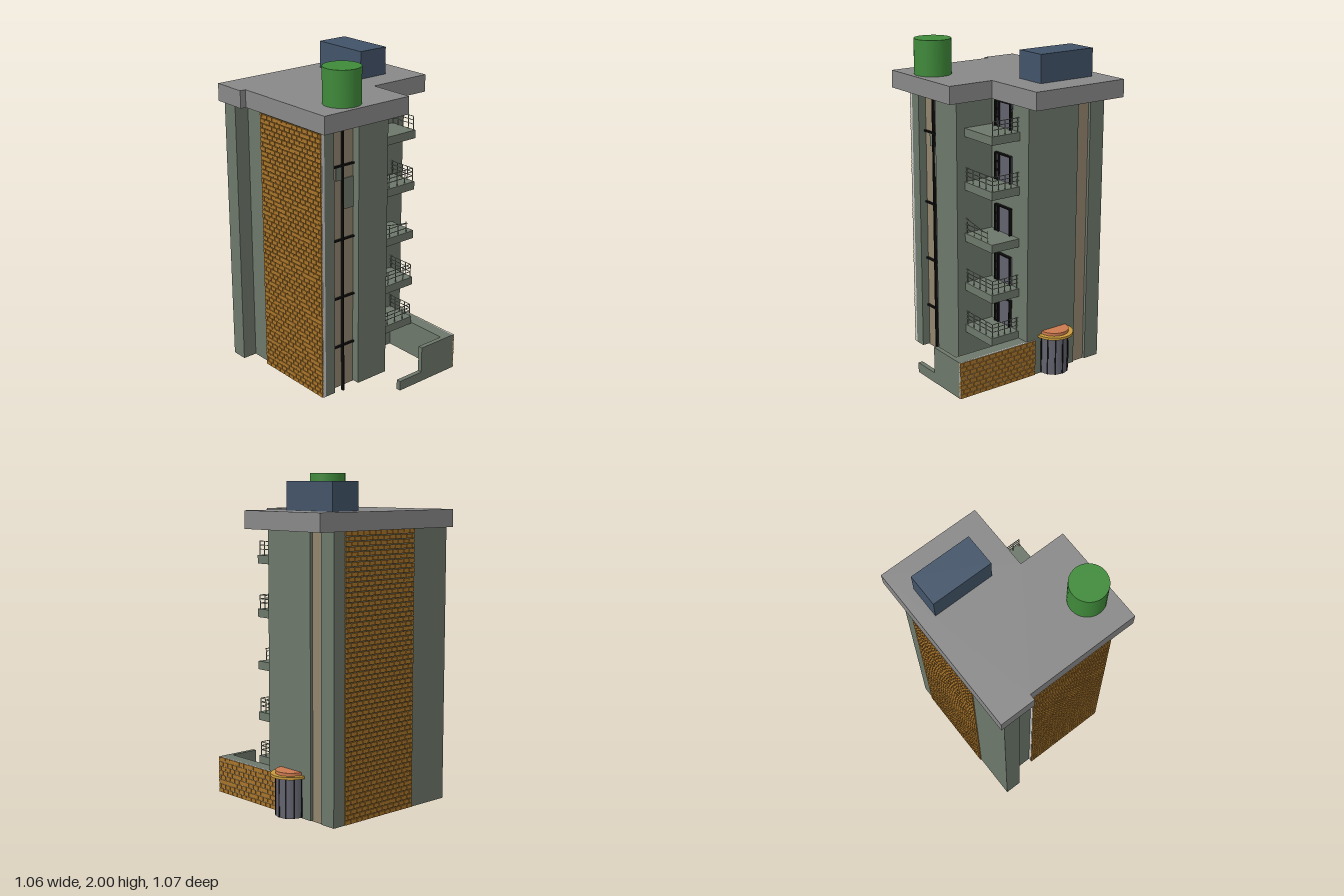
import * as THREE from 'three';
import { mergeGeometries } from 'three/addons/utils/BufferGeometryUtils.js';

const mat = (color) => new THREE.MeshStandardMaterial({ color });
const M = {
  wall: mat(0x6d776a), roof: mat(0x888888), beige: mat(0x91846d), brick: mat(0xa8742a), grey: mat(0xcccccc),
  black: mat(0x101010), glass: mat(0x62636f), tank: mat(0x3f8a3a), shed: mat(0x425368),
  gold: mat(0xc99b3c), orange: mat(0xcc7a50), rail: mat(0x8a9286),
};
const BASE = 0.035, TOP = 1.685;

// Box geometry from its two corners
function boxGeo(x0, x1, y0, y1, z0, z1) {
  return new THREE.BoxGeometry(x1 - x0, y1 - y0, z1 - z0)
    .translate((x0 + x1) / 2, (y0 + y1) / 2, (z0 + z1) / 2);
}

function add(parent, name, geo, material) {
  const mesh = new THREE.Mesh(geo, material);
  mesh.name = name;
  parent.add(mesh);
  return mesh;
}

// Prism from an [x, z] footprint
function prism(points, y0, y1) {
  const shape = new THREE.Shape(points.map(([x, z]) => new THREE.Vector2(x, -z)));
  return new THREE.ExtrudeGeometry(shape, { depth: y1 - y0, bevelEnabled: false })
    .rotateX(-Math.PI / 2).translate(0, y0, 0);
}

// Running-bond bricks; put(u0, u1, y0, y1) makes one brick
function brickGeo(u0, u1, y0, y1, put) {
  const rows = Math.round((y1 - y0) / 0.028), h = (y1 - y0) / rows;
  const count = Math.round((u1 - u0) / 0.046), w = (u1 - u0) / count, gap = 0.002;
  const parts = [];
  for (let r = 0; r < rows; r++) {
    const shift = r % 2 ? -w / 2 : 0;
    for (let i = 0; i <= count; i++) {
      const a = Math.max(u0, u0 + i * w + shift);
      const b = Math.min(u1, u0 + (i + 1) * w + shift);
      if (b - a > 0.01) parts.push(put(a + gap, b - gap, y0 + r * h + gap, y0 + (r + 1) * h - gap));
    }
  }
  return mergeGeometries(parts);
}

function bar(a, b, r = 0.0025) {
  const path = new THREE.LineCurve3(new THREE.Vector3(...a), new THREE.Vector3(...b));
  return new THREE.TubeGeometry(path, 1, r, 6, false);
}

// Glazed door with a narrow side light
function addDoor(parent, y0, y1) {
  const door = new THREE.Group();
  door.name = 'balconyDoor';
  parent.add(door);
  add(door, 'doorGlass', boxGeo(0.10, 0.25, y0, y1, 0.045, 0.058), M.glass);
  const f = 0.008, frame = [];
  for (const x of [0.10, 0.13, 0.242]) frame.push(boxGeo(x, x + f, y0, y1, 0.045, 0.07));
  frame.push(boxGeo(0.10, 0.25, y1 - f, y1, 0.045, 0.07));
  for (const t of [0, 0.33, 0.64]) {
    const y = y0 + t * (y1 - y0);
    frame.push(boxGeo(0.10, 0.135, y, y + f, 0.045, 0.068));
  }
  add(door, 'doorFrame', mergeGeometries(frame), M.black);
}

// Balcony slab with rails on the front and/or the side
function addBalcony(parent, y, front, side, broken) {
  const balcony = new THREE.Group();
  balcony.name = 'balcony';
  parent.add(balcony);
  add(balcony, 'balconySlab', boxGeo(0.05, 0.318, y - 0.05, y, 0.04, 0.245), M.wall);
  const bars = [];
  const X = 0.309, Z = 0.236;
  if (broken) {
    bars.push(bar([0.05, y + 0.09, Z], [0.26, y + 0.065, Z + 0.02]));
    bars.push(bar([0.05, y + 0.055, Z], [0.27, y + 0.055, Z]));
    bars.push(bar([0.05, y + 0.025, Z], [0.27, y + 0.025, Z]));
    for (const x of [0.06, 0.13, 0.2, 0.265]) bars.push(bar([x, y, Z], [x, y + 0.07, Z]));
  }
  for (const h of [0.035, 0.06, 0.083]) {
    if (front) bars.push(bar([0.05, y + h, Z], [X, y + h, Z]));
    if (side) bars.push(bar([X, y + h, 0.05], [X, y + h, Z]));
  }
  for (let i = 0; i < 5; i++) {
    const x = 0.06 + i * (X - 0.06) / 4, z = 0.06 + i * (Z - 0.06) / 4;
    if (front) bars.push(bar([x, y, Z], [x, y + 0.083, Z], 0.003));
    if (side) bars.push(bar([X, y, z], [X, y + 0.083, z], 0.003));
  }
  add(balcony, 'balconyRailing', mergeGeometries(bars), M.rail);
}

export function createModel() {
  const model = new THREE.Group();
  model.name = 'apartmentTower';

  // Tower body with front and side recesses and a rear left wing
  add(model, 'towerWalls', prism([
    [-0.51, -0.503], [0.40, -0.503], [0.40, -0.40], [0.375, -0.40], [0.375, -0.31], [0.40, -0.31],
    [0.40, 0.05], [0.05, 0.05], [0.05, 0.30], [-0.17, 0.30], [-0.17, 0.24], [-0.35, 0.24],
    [-0.35, 0.30], [-0.42, 0.30], [-0.42, -0.40], [-0.51, -0.40],
  ], BASE, TOP), M.wall);
  add(model, 'frontPanel', boxGeo(-0.36, -0.12, 0.03, TOP, 0.22, 0.25), M.beige);
  add(model, 'sidePanel', boxGeo(0.35, 0.382, 0.03, TOP, -0.42, -0.20), M.beige);

  // Black grid and cover plates on the front panel
  const grid = [boxGeo(-0.26, -0.25, 0, TOP, 0.245, 0.266)];
  for (const y of [0.305, 0.62, 0.985, 1.43]) grid.push(boxGeo(-0.35, -0.17, y - 0.005, y + 0.005, 0.245, 0.264));
  add(model, 'panelBars', mergeGeometries(grid), M.black);
  add(model, 'smallPlate', boxGeo(-0.30, -0.26, 1.345, 1.43, 0.245, 0.256), M.wall);
  add(model, 'largePlate', boxGeo(-0.25, -0.17, 1.165, 1.35, 0.245, 0.256), M.wall);

  // Brick facing on the left and the back
  add(model, 'leftMortar', boxGeo(-0.438, -0.42, BASE, TOP, -0.25, 0.30), M.grey);
  add(model, 'leftBricks', brickGeo(-0.25, 0.30, BASE, TOP,
    (a, b, c, d) => boxGeo(-0.446, -0.43, c, d, a, b)), M.brick);
  add(model, 'backBricks', brickGeo(-0.23, 0.32, BASE, TOP,
    (a, b, c, d) => boxGeo(a, b, c, d, -0.51, -0.495)), M.brick);

  // Roof slab, water tank and roof housing
  add(model, 'roofSlab', prism([
    [-0.53, -0.535], [0.53, -0.535], [0.53, 0.10], [0.12, 0.10],
    [0.12, 0.392], [-0.493, 0.392], [-0.493, -0.315], [-0.53, -0.315],
  ], TOP, 1.79), M.roof);
  add(model, 'waterTank', new THREE.CylinderGeometry(0.11, 0.11, 0.21, 32).translate(-0.255, 1.895, 0.255), M.tank);
  add(model, 'roofHousing', boxGeo(0.16, 0.357, 1.79, 1.955, -0.443, -0.065), M.shed);

  // Doors, each with a balcony above ground level
  addDoor(model, BASE, 0.215);
  [[0.305, 0.48], [0.575, 0.75], [0.885, 1.05], [1.20, 1.365], [1.52, 1.675]].forEach(([y0, y1], i) => {
    addDoor(model, y0, y1);
    addBalcony(model, y0, i !== 2 && i !== 4, i !== 2, i === 2);
  });

  // Garden wall: side run, stepped front run, brick outer face
  add(model, 'sideGardenWall', boxGeo(0.32, 0.40, BASE, 0.26, 0, 0.53), M.wall);
  add(model, 'frontGardenWall', boxGeo(0.135, 0.40, BASE, 0.26, 0.503, 0.531), M.wall);
  add(model, 'lowGardenWall', boxGeo(-0.04, 0.135, BASE, 0.096, 0.503, 0.531), M.wall);
  add(model, 'gardenMortar', boxGeo(0.395, 0.404, BASE, 0.26, -0.01, 0.531), M.grey);
  add(model, 'gardenBricks', brickGeo(-0.01, 0.533, BASE, 0.26,
    (a, b, c, d) => boxGeo(0.395, 0.409, c, d, a, b)), M.brick);

  // Round glazed bay on the right with a two-step cap
  const bay = new THREE.Group();
  bay.name = 'roundBay';
  bay.position.set(0.405, 0, -0.147);
  model.add(bay);
  const drum = (r, y0, y1) => new THREE.CylinderGeometry(r, r, y1 - y0, 32, 1, false, 0, Math.PI)
    .translate(0, (y0 + y1) / 2, 0);
  add(bay, 'bayGlass', drum(0.09, 0.04, 0.275), M.glass);
  add(bay, 'bayRim', drum(0.118, 0.275, 0.29), M.gold);
  add(bay, 'bayCap', drum(0.09, 0.29, 0.308), M.orange);
  const mullions = [];
  for (let i = 0; i <= 6; i++) {
    mullions.push(new THREE.BoxGeometry(0.008, 0.235, 0.008)
      .translate(0, 0.1575, 0.089).rotateY(i * Math.PI / 6));
  }
  add(bay, 'bayMullions', mergeGeometries(mullions), M.black);

  return model;
}
